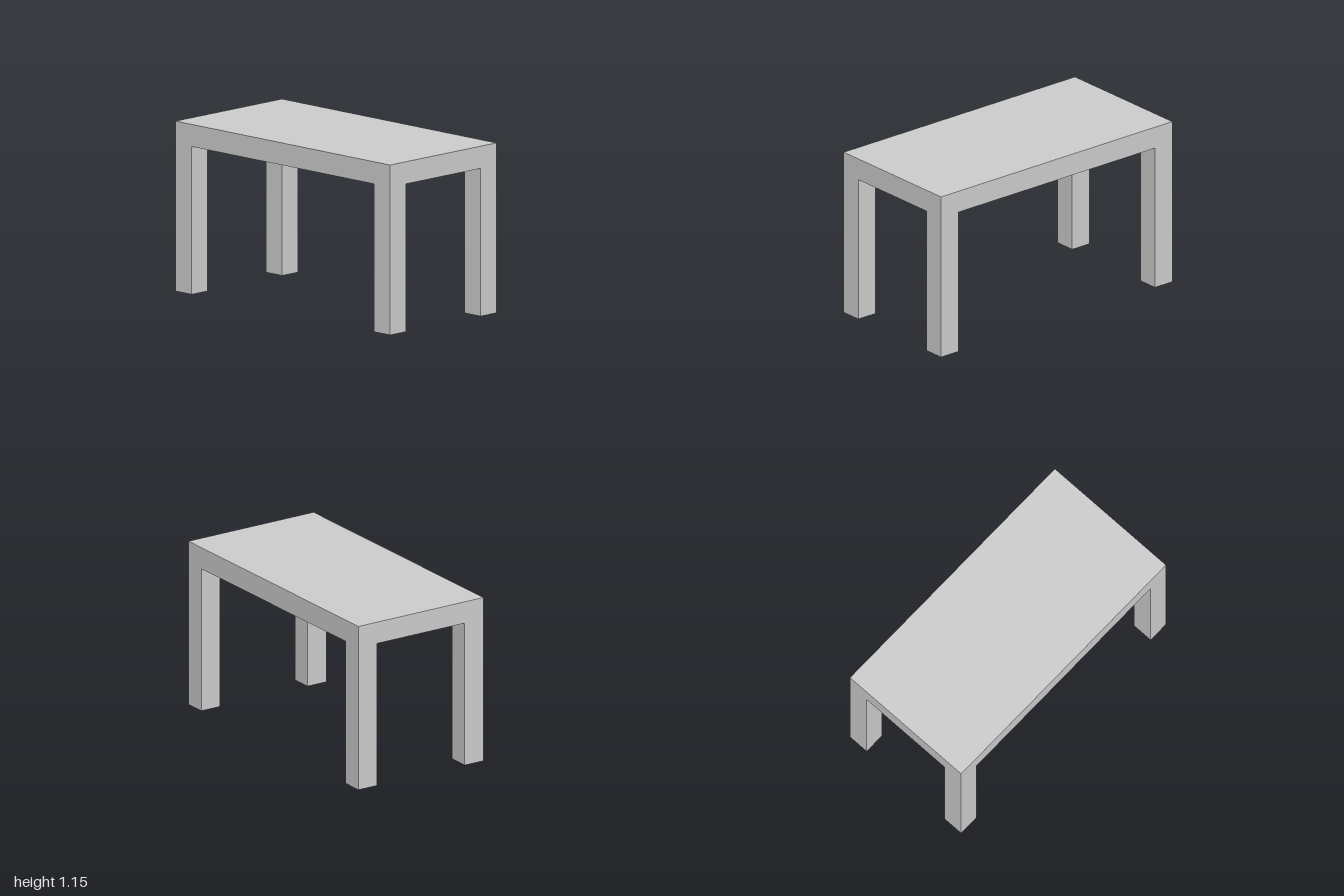
import * as THREE from 'three';

const LENGTH = 2, DEPTH = 1, HEIGHT = 1.15;
const POST = 0.15;      // leg and rail width
const LEG_H = 1.0;      // underside of the rails
const RECESS = 0.05;    // how far the top sits above the rail underside

export function createModel() {
  const group = new THREE.Group();
  group.name = 'table';
  const material = new THREE.MeshStandardMaterial({ color: 0xcccccc, flatShading: true });

  const add = (name, geometry, x, y, z) => {
    const mesh = new THREE.Mesh(geometry, material);
    mesh.name = name;
    mesh.position.set(x, y, z);
    group.add(mesh);
    return mesh;
  };

  // Table top slab
  const slabH = HEIGHT - LEG_H - RECESS;
  add('tableTop', new THREE.BoxGeometry(LENGTH, slabH, DEPTH), 0, HEIGHT - slabH / 2, 0);

  // Rail frame under the top, open in the middle
  const rectangle = (path, w, d) => path
    .moveTo(-w / 2, -d / 2).lineTo(w / 2, -d / 2)
    .lineTo(w / 2, d / 2).lineTo(-w / 2, d / 2).closePath();
  const outline = rectangle(new THREE.Shape(), LENGTH, DEPTH);
  outline.holes.push(rectangle(new THREE.Path(), LENGTH - 2 * POST, DEPTH - 2 * POST));
  const frame = new THREE.ExtrudeGeometry(outline, { depth: RECESS, bevelEnabled: false });
  frame.rotateX(-Math.PI / 2);
  add('railFrame', frame, 0, LEG_H, 0);

  // Square corner legs
  const leg = new THREE.BoxGeometry(POST, LEG_H, POST);
  for (const [sx, side] of [[1, 'Left'], [-1, 'Right']]) {
    for (const [sz, end] of [[1, 'front'], [-1, 'back']]) {
      add(`${end}${side}Leg`, leg, sx * (LENGTH - POST) / 2, LEG_H / 2, sz * (DEPTH - POST) / 2);
    }
  }
  return group;
}
